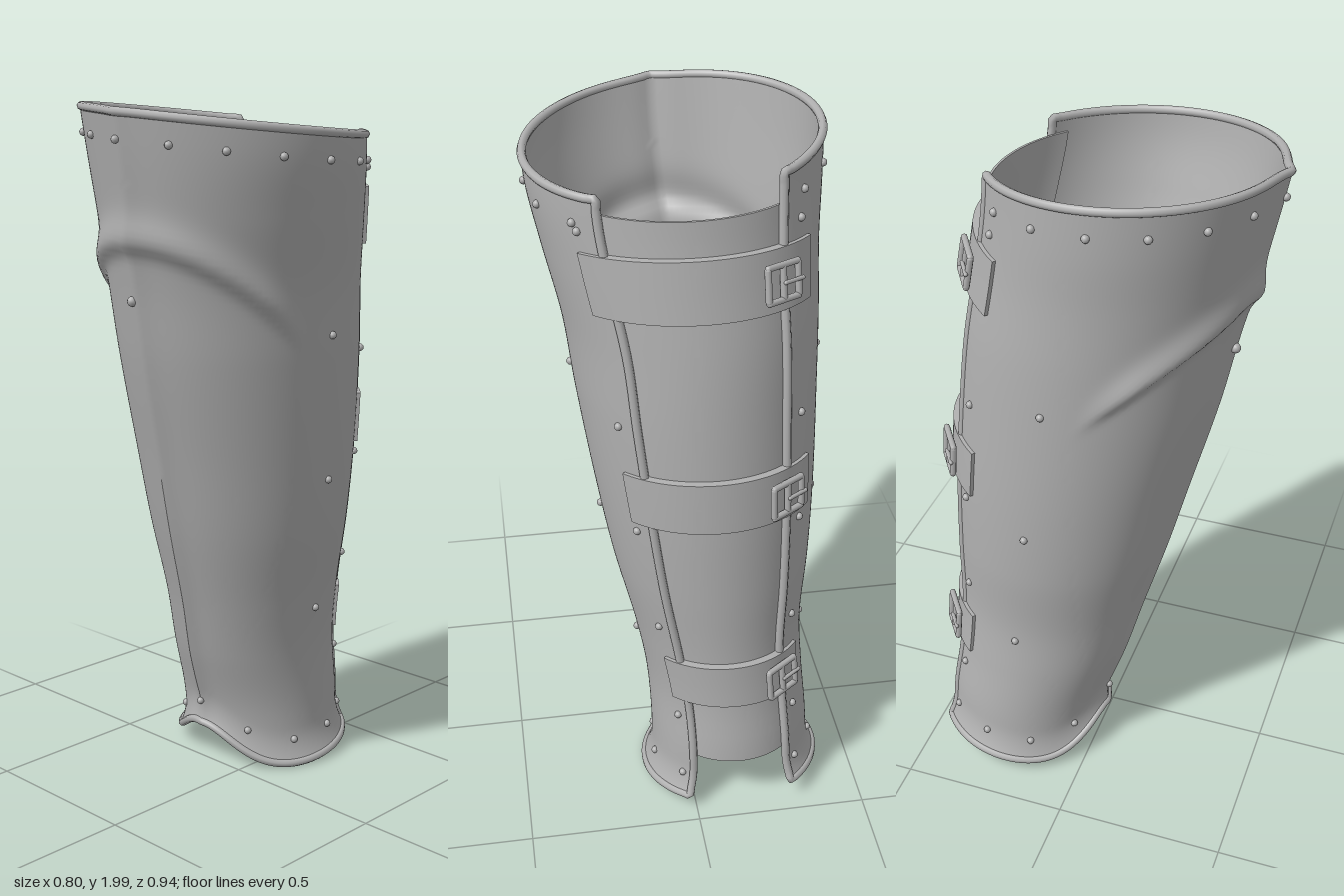
import * as THREE from 'three';
import { toCreasedNormals } from 'three/addons/utils/BufferGeometryUtils.js';

const EDGE = 2.5; // half angle covered by the front shell, measured from the front

// Limb cross-sections by height: right x, left x, front z, back z
const heights = [0, 0.2, 0.38, 0.55, 0.78, 1.0, 1.3, 1.5, 1.7, 1.85, 2.02];
const sections = [
  -0.375, 0.108, 0.0, -0.475,
  -0.368, 0.105, 0.03, -0.475,
  -0.355, 0.115, 0.085, -0.452,
  -0.348, 0.145, 0.13, -0.442,
  -0.368, 0.2, 0.195, -0.442,
  -0.378, 0.24, 0.25, -0.438,
  -0.383, 0.285, 0.325, -0.418,
  -0.385, 0.31, 0.365, -0.395,
  -0.385, 0.355, 0.41, -0.36,
  -0.392, 0.385, 0.44, -0.335,
  -0.395, 0.395, 0.472, -0.32,
];
const limb = new THREE.CubicInterpolant(heights, sections, 4);

const topY = (a) => 1.947 - 0.033 * Math.sin(a) + 0.02 * Math.cos(a);
const bottomY = (a) =>
  0.013 + 0.125 * Math.exp(-((a / 0.6) ** 2)) - 0.014 * Math.sin(a) + 0.03 * (1 - Math.cos(a));

// Point on the limb surface at angle a (0 = front, positive = left) and height y
function surface(a, y, off = 0) {
  const [x0, x1, zf, zb] = limb.evaluate(y);
  const front = zf - 0.018;
  const s = Math.sin(a), c = Math.cos(a);
  const h = y - bottomY(a);
  let r = off;
  // shin ridge
  r += 0.02 * Math.exp(-Math.pow(Math.abs(a) / 0.1, 1.3)) * THREE.MathUtils.smoothstep(h, -0.1, 0.15);
  // raised fold under the knee
  const d = y - (1.63 - 0.15 * a * a);
  const fade = 1 - THREE.MathUtils.smoothstep(Math.abs(a), 1.0, 1.4);
  r += 0.022 * fade * Math.exp(-((d / (d > 0 ? 0.06 : 0.028)) ** 2));
  // flare at the ankle
  if (h < 0.1) r += 0.024 * (1 - h / 0.1) ** 2;
  return new THREE.Vector3(
    (x0 + x1) / 2 + s * ((x1 - x0) / 2 + r),
    y,
    (front + zb) / 2 + c * ((front - zb) / 2 + r),
  );
}

// Closed curved sheet between two angles and two height rules
function sheet(a0, a1, low, high, outer, inner, nu, nv) {
  const pos = [], idx = [], ring = 2 * (nv + 1);
  for (let i = 0; i <= nu; i++) {
    const a = a0 + ((a1 - a0) * i) / nu;
    for (let k = 0; k < ring; k++) {
      const j = k <= nv ? k : ring - 1 - k;
      const y = low(a) + ((high(a) - low(a)) * j) / nv;
      pos.push(...surface(a, y, k <= nv ? outer : inner).toArray());
    }
  }
  const quad = (a, b, c, d) => idx.push(a, b, c, a, c, d);
  for (let i = 0; i < nu; i++) {
    for (let k = 0; k < ring; k++) {
      const n = (k + 1) % ring, p = i * ring, q = p + ring;
      quad(p + k, q + k, q + n, p + n);
    }
  }
  const e = nu * ring;
  for (let j = 0; j < nv; j++) {
    const m = ring - 1 - j;
    quad(m, j, j + 1, m - 1);
    quad(e + j, e + m, e + m - 1, e + j + 1);
  }
  const g = new THREE.BufferGeometry();
  g.setAttribute('position', new THREE.Float32BufferAttribute(pos, 3));
  g.setIndex(idx);
  return toCreasedNormals(g, 0.8);
}

export function createModel() {
  const model = new THREE.Group();
  model.name = 'legArmour';
  const steel = new THREE.MeshStandardMaterial({ color: 0xb0b0b0 });
  steel.name = 'steel grey';
  const add = (name, geometry, parent = model) => {
    const mesh = new THREE.Mesh(geometry, steel);
    mesh.name = name;
    parent.add(mesh);
    return mesh;
  };

  // Front shell and calf plate
  add('frontShell', sheet(-EDGE, EDGE, bottomY, topY, 0, -0.012, 120, 110));
  add('calfPlate', sheet(2.38, 2 * Math.PI - 2.38, () => 0.195, () => 1.87, -0.013, -0.02, 36, 40));

  // Rolled rim all round the shell
  const rim = [];
  const N = 80;
  for (let i = 0; i <= N; i++) {
    const a = -EDGE + (2 * EDGE * i) / N;
    rim.push(surface(a, bottomY(a), -0.004));
  }
  for (let i = 1; i < N; i++) {
    rim.push(surface(EDGE, THREE.MathUtils.lerp(bottomY(EDGE), topY(EDGE), i / N), -0.004));
  }
  for (let i = 0; i <= N; i++) {
    const a = EDGE - (2 * EDGE * i) / N;
    rim.push(surface(a, topY(a), -0.004));
  }
  for (let i = 1; i < N; i++) {
    rim.push(surface(-EDGE, THREE.MathUtils.lerp(topY(-EDGE), bottomY(-EDGE), i / N), -0.004));
  }
  add('rolledRim', new THREE.TubeGeometry(new THREE.CatmullRomCurve3(rim, true), 640, 0.012, 8, true));

  // Rivets
  const rivets = new THREE.Group();
  rivets.name = 'rivets';
  model.add(rivets);
  const rivetShape = new THREE.SphereGeometry(0.011, 10, 8);
  const rivet = (a, y, size = 1) => {
    const m = add('rivet', rivetShape, rivets);
    m.position.copy(surface(a, y, 0.002));
    m.scale.setScalar(size);
  };
  for (let i = -6; i <= 6; i++) rivet(i * 0.383, topY(i * 0.383) - 0.07);
  for (let i = -4; i <= 4; i++) rivet(i * 0.59, bottomY(i * 0.59) + 0.07);
  rivet(-0.03, 1.47, 1.3);
  for (const side of [-1, 1]) {
    for (const y of [1.37, 0.94, 0.52]) rivet(side * 1.63, y);
    for (const y of [1.82, 1.3, 0.98, 0.65, 0.33]) rivet(side * 2.33, y);
  }

  // Straps with buckles on the right edge
  const rail = new THREE.CapsuleGeometry(0.009, 0.1, 4, 8).rotateZ(Math.PI / 2);
  const post = new THREE.CapsuleGeometry(0.009, 0.08, 4, 8);
  const prong = new THREE.CapsuleGeometry(0.006, 0.06, 4, 8).rotateZ(Math.PI / 2);
  for (const [yc, half] of [[1.69, 0.08], [1.09, 0.075], [0.47, 0.07]]) {
    const mid = (a) => yc - 0.045 * (Math.cos(a) + 0.75);
    add('strap', sheet(2.31, 2 * Math.PI - 2.22, (a) => mid(a) - half, (a) => mid(a) + half, 0.01, -0.011, 40, 4));

    const a = -2.58, y = mid(a);
    const up = surface(a, y + 0.05).sub(surface(a, y - 0.05)).normalize();
    const across = surface(a + 0.05, y).sub(surface(a - 0.05, y)).normalize();
    const out = across.clone().cross(up).normalize();
    across.crossVectors(up, out);
    const buckle = new THREE.Group();
    buckle.name = 'buckle';
    buckle.applyMatrix4(new THREE.Matrix4().makeBasis(across, up, out));
    buckle.position.copy(surface(a, y, 0.024));
    model.add(buckle);
    for (const s of [-1, 1]) {
      add('buckleRail', rail, buckle).position.y = s * 0.045;
      add('bucklePost', post, buckle).position.x = s * 0.052;
    }
    add('buckleBar', post, buckle);
    add('bucklePin', prong, buckle).position.set(0.03, 0, 0.008);
  }
  return model;
}
